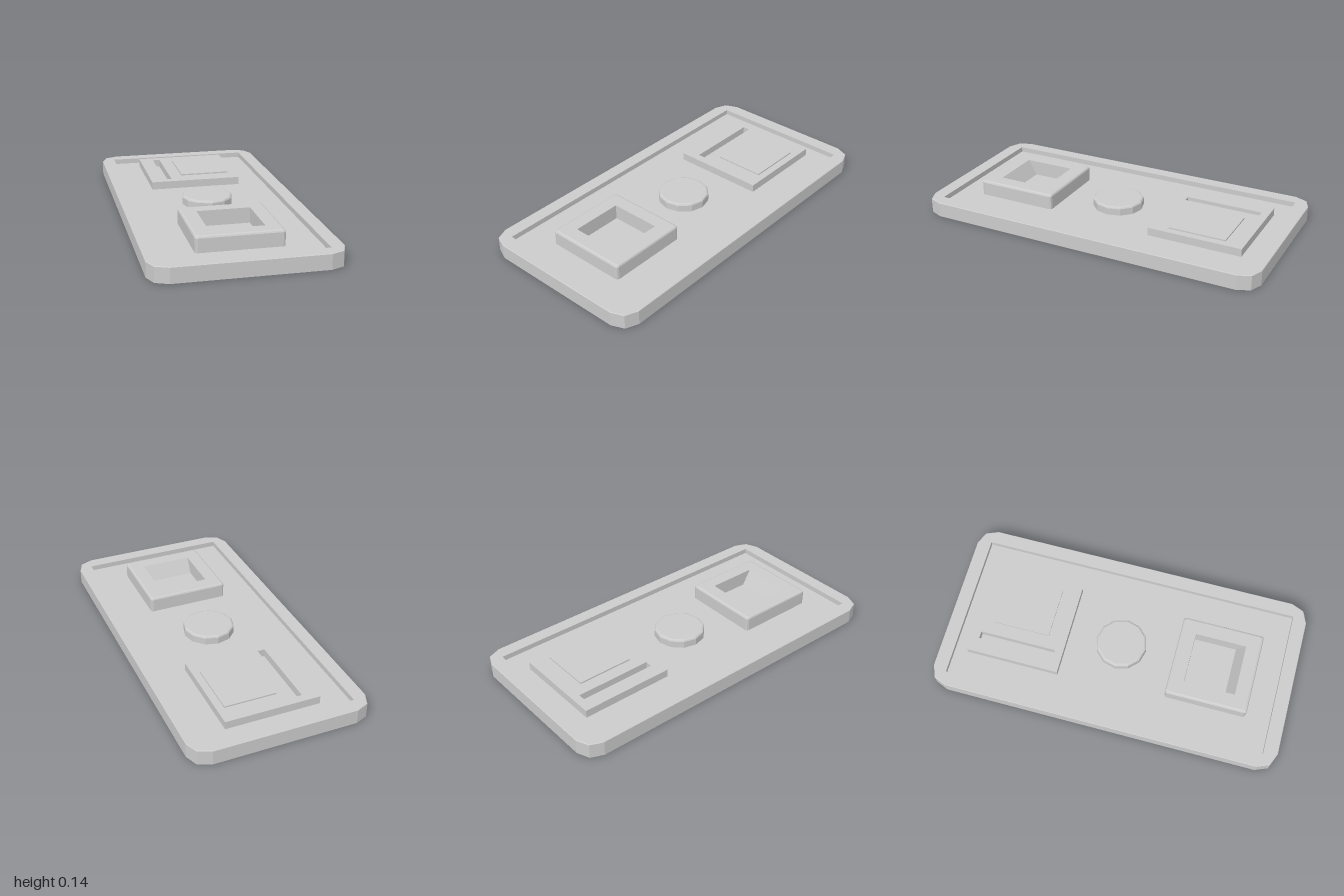
import * as THREE from 'three';

const material = new THREE.MeshStandardMaterial({ color: 0xcccccc, flatShading: true });
const FLOOR = 0.055; // height of the recessed tray floor

// Rectangular loop at height y, counter-clockwise from above, with cut corners of radius r
function loop(y, x0, x1, z0, z1, r = 0, seg = 2) {
  const corners = [
    [x1 - r, z1 - r, -90], [x1 - r, z0 + r, 0],
    [x0 + r, z0 + r, 90], [x0 + r, z1 - r, 180],
  ];
  const points = [];
  for (const [cx, cz, start] of corners) {
    for (let i = 0; i <= seg; i++) {
      const a = THREE.MathUtils.degToRad(start + (90 * i) / seg);
      points.push([cx + r * Math.cos(a), y, cz - r * Math.sin(a)]);
    }
  }
  return points;
}

// Skin a row of loops and close both ends
function loft(loops) {
  const n = loops[0].length;
  const pos = loops.flat(2);
  const index = [];
  for (let k = 0; k < loops.length - 1; k++) {
    for (let i = 0; i < n; i++) {
      const j = (i + 1) % n;
      const a = k * n + i, b = k * n + j;
      index.push(a, b, b + n, a, b + n, a + n);
    }
  }
  const top = (loops.length - 1) * n;
  for (let i = 1; i < n - 1; i++) {
    index.push(0, i + 1, i);
    index.push(top, top + i, top + i + 1);
  }
  const geometry = new THREE.BufferGeometry();
  geometry.setAttribute('position', new THREE.Float32BufferAttribute(pos, 3));
  geometry.setIndex(index);
  const flat = geometry.toNonIndexed();
  flat.computeVertexNormals();
  return flat;
}

function rectPath(path, x0, x1, z0, z1) {
  path.moveTo(x0, -z1).lineTo(x1, -z1).lineTo(x1, -z0).lineTo(x0, -z0).closePath();
  return path;
}

export function createModel() {
  const model = new THREE.Group();
  model.name = 'switchPlate';
  const add = (name, geometry) => {
    const mesh = new THREE.Mesh(geometry, material);
    mesh.name = name;
    model.add(mesh);
    return mesh;
  };

  // Base plate with cut corners and a sunken tray
  add('basePlate', loft([
    loop(0, -0.5, 0.5, -1, 1, 0.1),
    loop(0.082, -0.5, 0.5, -1, 1, 0.1),
    loop(0.085, -0.497, 0.497, -0.997, 0.997, 0.1),
    loop(0.085, -0.422, 0.422, -0.92, 0.92),
    loop(FLOOR, -0.422, 0.422, -0.92, 0.92),
  ]));

  // Square socket: bevelled frame, straight walls and one sloping front wall
  add('socketFrame', loft([
    loop(FLOOR - 0.01, -0.235, 0.235, 0.312, 0.78, 0.015),
    loop(0.131, -0.235, 0.235, 0.312, 0.78, 0.015),
    loop(0.139, -0.231, 0.231, 0.316, 0.776, 0.015),
    loop(0.143, -0.222, 0.222, 0.325, 0.767, 0.012),
    loop(0.143, -0.147, 0.147, 0.4, 0.693),
    loop(FLOOR + 0.001, -0.147, 0.147, 0.4, 0.643),
  ]));

  // Twelve-sided round button
  const profile = [[0, FLOOR - 0.01], [0.145, FLOOR - 0.01], [0.145, 0.094], [0.141, 0.101], [0.132, 0.105], [0, 0.105]];
  add('roundButton', new THREE.LatheGeometry(profile.map(([r, y]) => new THREE.Vector2(r, y)), 12));

  // Raised panel with a narrow slot cut through it
  const outline = rectPath(new THREE.Shape(), -0.267, 0.267, -0.843, -0.308);
  outline.holes.push(rectPath(new THREE.Path(), -0.184, -0.142, -0.797, -0.355));
  const panel = new THREE.ExtrudeGeometry(outline, { depth: 0.1 - FLOOR, bevelEnabled: false });
  panel.rotateX(-Math.PI / 2);
  add('slottedPanel', panel).position.y = FLOOR;

  // Thin square pad on the panel
  const pad = new THREE.BoxGeometry(0.294, 0.012, 0.324);
  add('panelPad', pad).position.set(0.078, 0.102, -0.576);

  return model;
}
